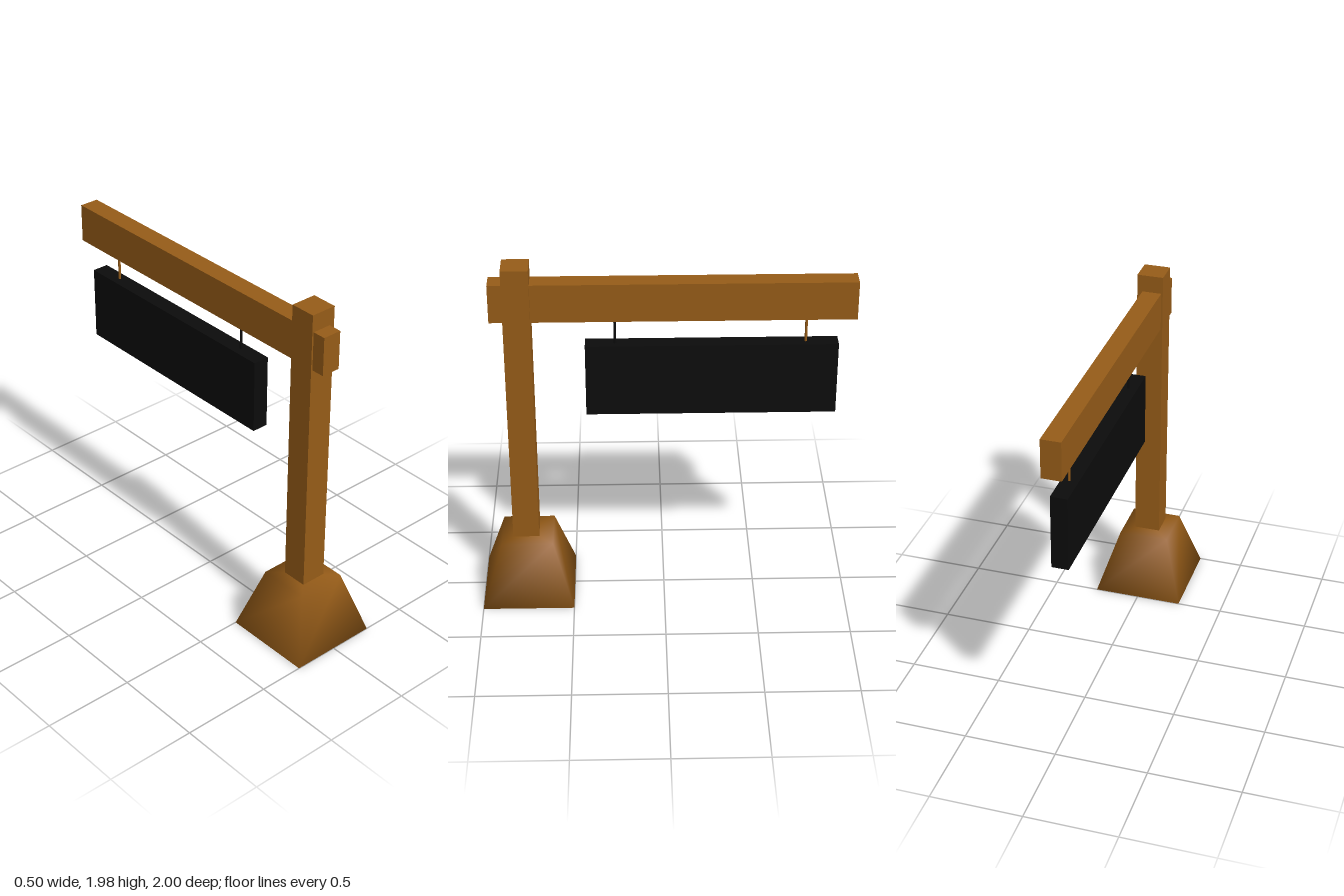
import * as THREE from 'three';
import { mergeVertices } from 'three/addons/utils/BufferGeometryUtils.js';

const wood = new THREE.MeshStandardMaterial({ color: 0x965c18 });
const black = new THREE.MeshStandardMaterial({ color: 0x0c0c0c });

// Box given by its lower and upper corners
function box(name, material, [x0, y0, z0], [x1, y1, z1]) {
  const mesh = new THREE.Mesh(new THREE.BoxGeometry(x1 - x0, y1 - y0, z1 - z0), material);
  mesh.position.set((x0 + x1) / 2, (y0 + y1) / 2, (z0 + z1) / 2);
  mesh.name = name;
  return mesh;
}

// Square tapered foot with softly shaded, shared corners
function taperedBase() {
  const height = 0.352;
  let geo = new THREE.CylinderGeometry(0.14 * Math.SQRT2, 0.25 * Math.SQRT2, height, 4);
  geo.rotateY(Math.PI / 4);
  geo.deleteAttribute('uv');
  geo.deleteAttribute('normal');
  geo = mergeVertices(geo, 1e-4);
  geo.computeVertexNormals();
  const mesh = new THREE.Mesh(geo, wood);
  mesh.position.set(0, height / 2, 0.75);
  mesh.name = 'base';
  return mesh;
}

export function createModel() {
  const group = new THREE.Group();
  group.name = 'hangingSignpost';

  group.add(taperedBase());
  group.add(box('post', wood, [-0.072, 0.36, 0.688], [0.072, 1.975, 0.83]));
  group.add(box('crossBeam', wood, [-0.063, 1.668, -1], [0.043, 1.88, 0.903]));
  group.add(box('signBoard', black, [-0.06, 1.11, -0.912], [0.03, 1.517, 0.412]));

  // Two thin rods from the beam to the board
  for (const [z, material] of [[0.255, black], [-0.742, wood]]) {
    const rod = new THREE.Mesh(new THREE.CylinderGeometry(0.007, 0.007, 0.17, 8), material);
    rod.position.set(-0.012, 1.593, z);
    rod.name = 'hangerRod';
    group.add(rod);
  }
  return group;
}
